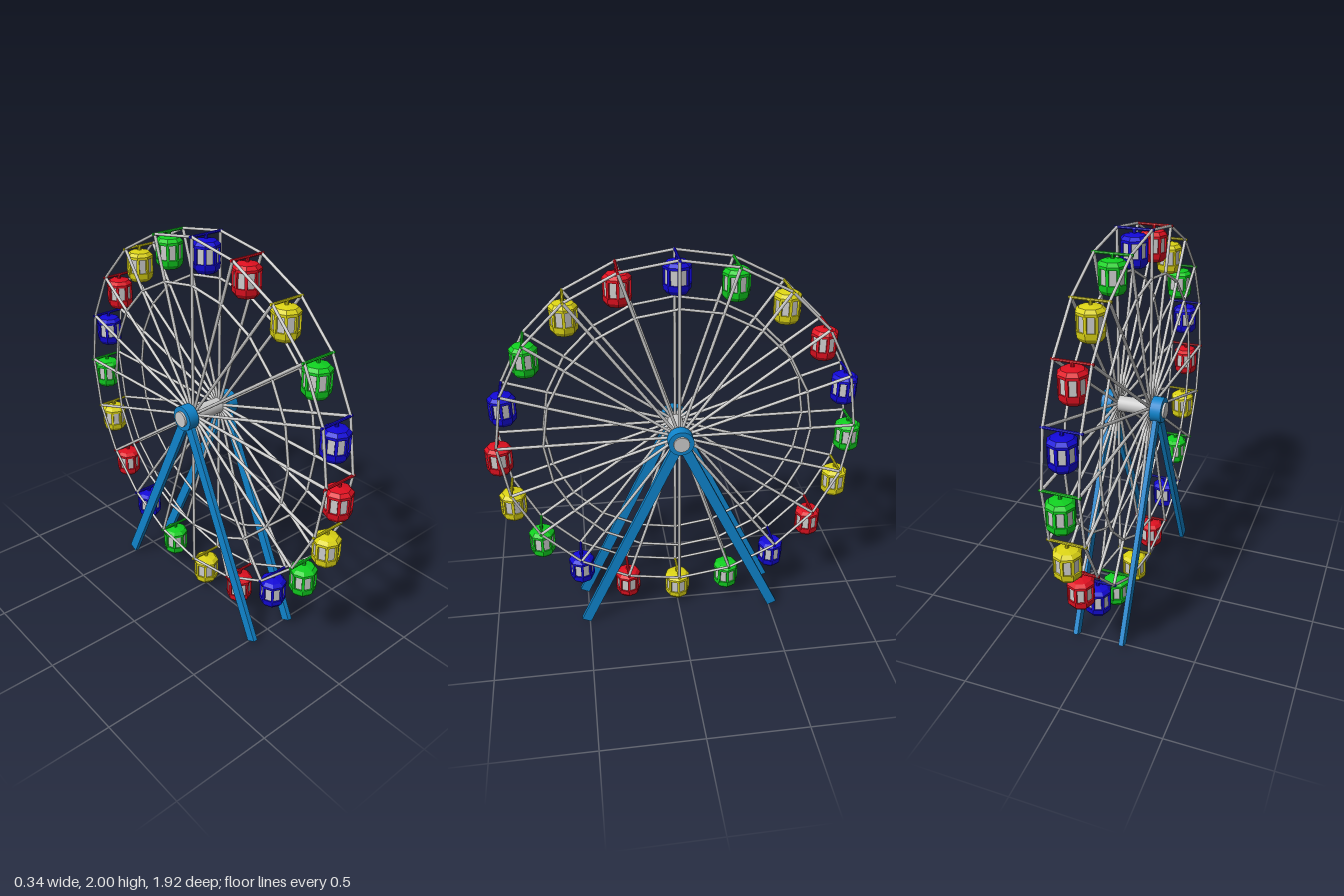
import * as THREE from 'three';

const HUB_Y = 1.1, RIM_R = 0.89, INNER_R = 0.665, WHEEL_X = 0.085, COUNT = 20;

const paint = (color, flatShading = false) => new THREE.MeshStandardMaterial({ color, flatShading });
const grey = paint(0xcccccc);
const greyFlat = paint(0xcccccc, true);
const legBlue = paint(0x0f84cc);
// cabin colours in order around the wheel, starting at the top
const cabinColors = [0x1208d8, 0xe01020, 0xdcd414, 0x10d020].map((c) => paint(c, true));

function add(parent, name, geometry, material) {
  const mesh = new THREE.Mesh(geometry, material);
  mesh.name = name;
  parent.add(mesh);
  return mesh;
}

// round bar between two points
function rod(parent, name, a, b, radius, material, sides = 8) {
  const dir = b.clone().sub(a);
  const mesh = add(parent, name, new THREE.CylinderGeometry(radius, radius, dir.length(), sides), material);
  mesh.position.copy(a).addScaledVector(dir, 0.5);
  mesh.quaternion.setFromUnitVectors(new THREE.Vector3(0, 1, 0), dir.normalize());
  return mesh;
}

const V = (x, y, z) => new THREE.Vector3(x, y, z);
const profile = (pts) => new THREE.LatheGeometry(pts.map(([r, y]) => new THREE.Vector2(r, y)), 8);

// point on the wheel at step i
function wheelPoint(i, radius, x) {
  const a = (i / COUNT) * Math.PI * 2;
  return V(x, HUB_Y + Math.cos(a) * radius, Math.sin(a) * radius);
}

// one side of the wheel: spokes and two polygonal rings
function makeWheel(x) {
  const wheel = new THREE.Group();
  wheel.name = 'wheelSide';
  for (let i = 0; i < COUNT; i++) {
    rod(wheel, 'spoke', wheelPoint(i, 0.02, x), wheelPoint(i, RIM_R, x), 0.008, grey);
    rod(wheel, 'outerRim', wheelPoint(i, RIM_R, x), wheelPoint(i + 1, RIM_R, x), 0.007, grey);
    rod(wheel, 'innerRim', wheelPoint(i, INNER_R, x), wheelPoint(i + 1, INNER_R, x), 0.007, grey);
  }
  return wheel;
}

const roofShape = profile([[0, -0.057], [0.068, -0.057], [0.068, -0.044], [0.052, -0.028], [0, -0.018]]);
const tubShape = profile([[0, -0.175], [0.05, -0.175], [0.065, -0.155], [0.068, -0.128], [0, -0.128]]);

// octagonal cabin hanging from a pivot at its origin
function makeCabin(material) {
  const cabin = new THREE.Group();
  cabin.name = 'cabin';
  rod(cabin, 'pivotBar', V(-0.096, 0, 0), V(0.096, 0, 0), 0.007, material);
  rod(cabin, 'hanger', V(0, 0, 0), V(0, -0.03, 0), 0.009, material);
  add(cabin, 'roof', roofShape, material);
  add(cabin, 'tub', tubShape, material);
  add(cabin, 'windows', new THREE.CylinderGeometry(0.06, 0.06, 0.08, 8), greyFlat).position.y = -0.093;
  for (let k = 0; k < 8; k++) {
    const a = (k * Math.PI) / 4;
    const post = add(cabin, 'windowPost', new THREE.BoxGeometry(0.014, 0.08, 0.012), material);
    post.position.set(Math.sin(a) * 0.06, -0.093, Math.cos(a) * 0.06);
    post.rotation.y = a;
  }
  return cabin;
}

export function createModel() {
  const model = new THREE.Group();
  model.name = 'ferrisWheel';

  // axle through the hub
  rod(model, 'axle', V(-0.168, HUB_Y, 0), V(0.168, HUB_Y, 0), 0.04, grey, 24);

  for (const s of [-1, 1]) {
    model.add(makeWheel(s * WHEEL_X));
    rod(model, 'bearing', V(s * 0.1, HUB_Y, 0), V(s * 0.157, HUB_Y, 0), 0.064, legBlue, 24);

    // splayed support legs
    for (const f of [-1, 1]) {
      const top = V(s * 0.124, HUB_Y, 0), foot = V(s * 0.124, 0.011, f * 0.518);
      const leg = add(model, 'supportLeg', new THREE.BoxGeometry(0.024, top.distanceTo(foot), 0.052), legBlue);
      leg.position.copy(top).lerp(foot, 0.5);
      leg.rotation.x = -f * Math.atan2(0.518, HUB_Y - 0.011);
    }
  }

  // cabins stay upright around the rim
  for (let i = 0; i < COUNT; i++) {
    const cabin = makeCabin(cabinColors[i % 4]);
    cabin.position.copy(wheelPoint(i, RIM_R, 0));
    model.add(cabin);
  }
  return model;
}
